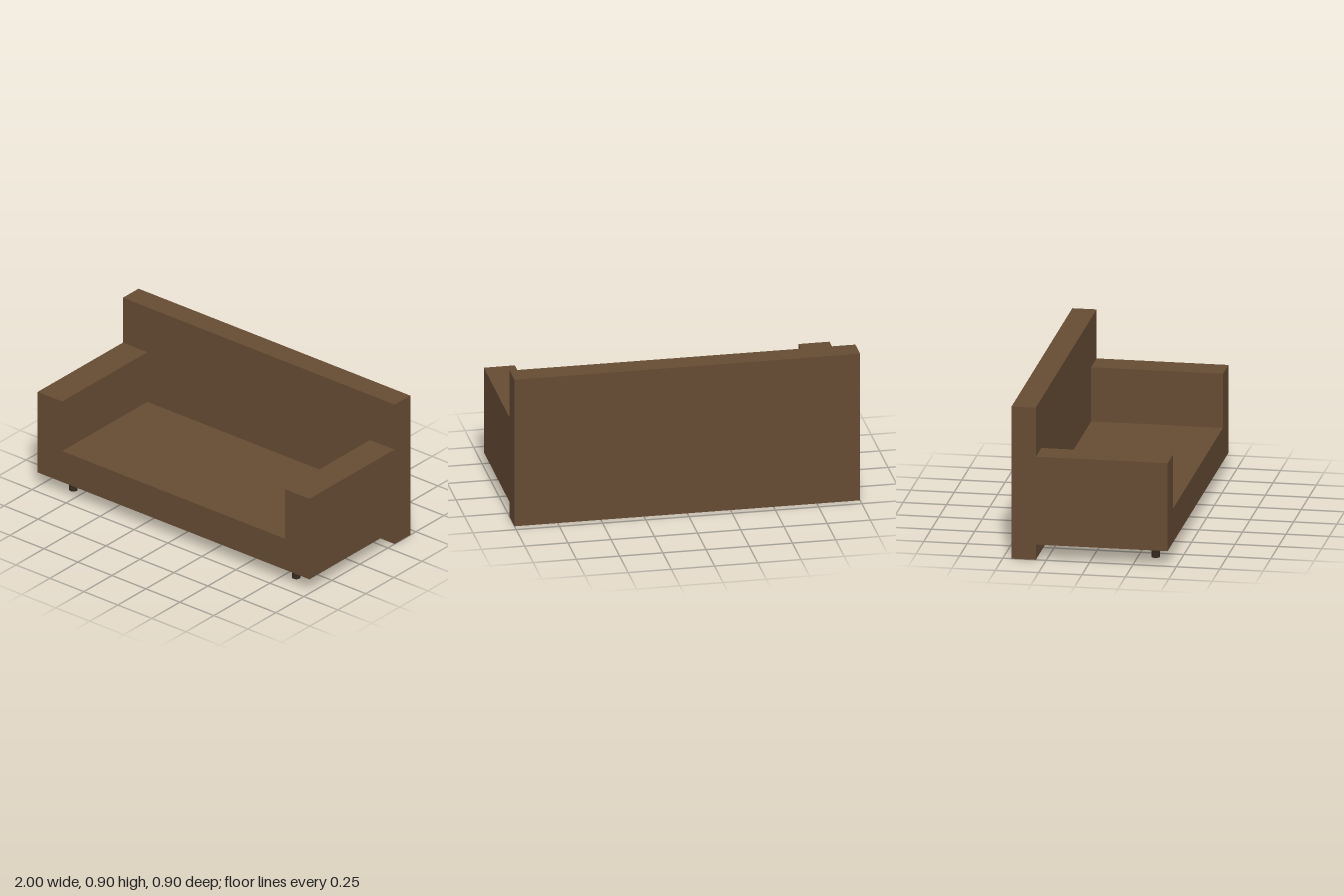
import * as THREE from 'three';

const fabric = new THREE.MeshStandardMaterial({ color: 0x654b33 });
const wood = new THREE.MeshStandardMaterial({ color: 0x35281f });

function addMesh(parent, name, geometry, material, x, y, z) {
  const mesh = new THREE.Mesh(geometry, material);
  mesh.name = name;
  mesh.position.set(x, y, z);
  parent.add(mesh);
}

export function createModel() {
  const sofa = new THREE.Group();
  sofa.name = 'sofa';

  // Seat base and both armrests as one U-shaped section, run front to back
  const section = new THREE.Shape([
    [-1, 0.09], [1, 0.09], [1, 0.61], [0.82, 0.61],
    [0.82, 0.29], [-0.82, 0.29], [-0.82, 0.61], [-1, 0.61],
  ].map(([x, y]) => new THREE.Vector2(x, y)));
  const seat = new THREE.ExtrudeGeometry(section, { depth: 0.76, bevelEnabled: false });
  addMesh(sofa, 'seatAndArmrests', seat, fabric, 0, 0, -0.31);

  // Backrest panel reaching the floor
  addMesh(sofa, 'backrest', new THREE.BoxGeometry(2, 0.9, 0.14), fabric, 0, 0.45, -0.38);

  // Tapered legs; the back pair sits inside the backrest panel, a hair off the floor
  const leg = new THREE.CylinderGeometry(0.02, 0.025, 0.09, 24);
  for (const side of [-1, 1]) {
    const label = side > 0 ? 'Left' : 'Right';
    addMesh(sofa, `front${label}Leg`, leg, wood, side * 0.82, 0.045, 0.35);
    addMesh(sofa, `back${label}Leg`, leg, wood, side * 0.82, 0.046, -0.35);
  }
  return sofa;
}
